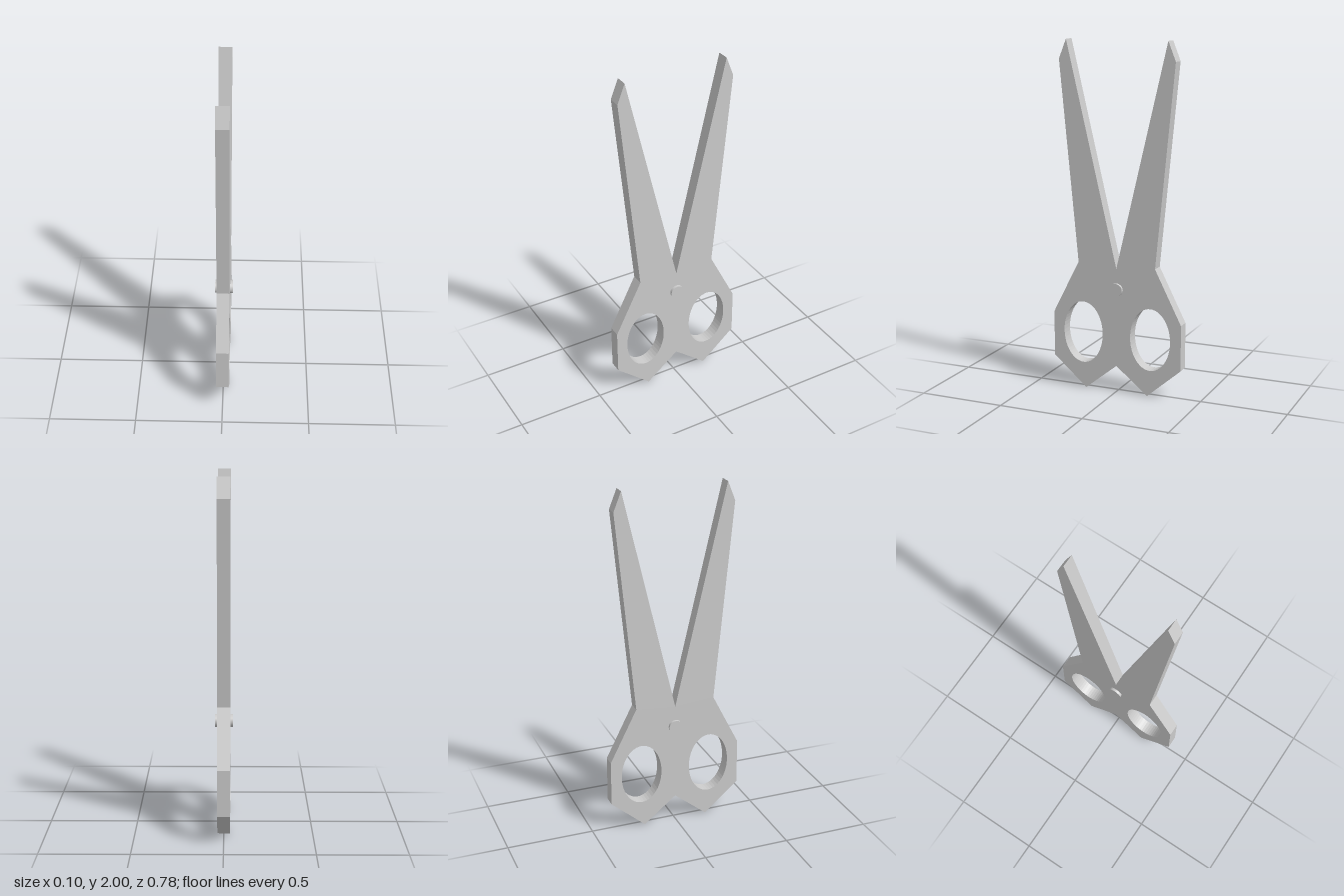
import * as THREE from 'three';

const THICKNESS = 0.072;

export function createModel() {
  const group = new THREE.Group();
  group.name = 'scissors';
  const material = new THREE.MeshStandardMaterial({ color: 0xcccccc });

  // Half of the outline, from the crotch of the blades down to the handle notch
  const half = [
    [0, 0.725], [0.302, 2], [0.346, 1.89], [0.234, 0.745],
    [0.391, 0.436], [0.391, 0.173], [0.19, 0], [0, 0.153],
  ];
  const mirrored = half.slice(1, -1).reverse().map(([u, y]) => [-u, y]);
  const outline = new THREE.Shape([...half, ...mirrored].map(([u, y]) => new THREE.Vector2(u, y)));

  // Oval finger holes, wound against the clockwise outline
  for (const side of [-1, 1]) {
    const hole = new THREE.Path();
    hole.absellipse(side * 0.206, 0.332, 0.121, 0.181, 0, Math.PI * 2, false);
    outline.holes.push(hole);
  }

  // Crossed blades and handles, one flat plate lying in the yz plane
  const plate = new THREE.ExtrudeGeometry(outline, {
    depth: THICKNESS, bevelEnabled: false, curveSegments: 24,
  });
  plate.translate(0, 0, -THICKNESS / 2).rotateY(Math.PI / 2);
  const blades = new THREE.Mesh(plate, material);
  blades.name = 'bladesAndHandles';
  group.add(blades);

  // Slightly flattened pivot pin standing proud on both faces
  const pinGeometry = new THREE.CylinderGeometry(0.04, 0.04, 0.102, 32);
  pinGeometry.rotateZ(Math.PI / 2).scale(1, 0.92, 1);
  const pin = new THREE.Mesh(pinGeometry, material);
  pin.name = 'pivotPin';
  pin.position.y = 0.604;
  group.add(pin);

  return group;
}
